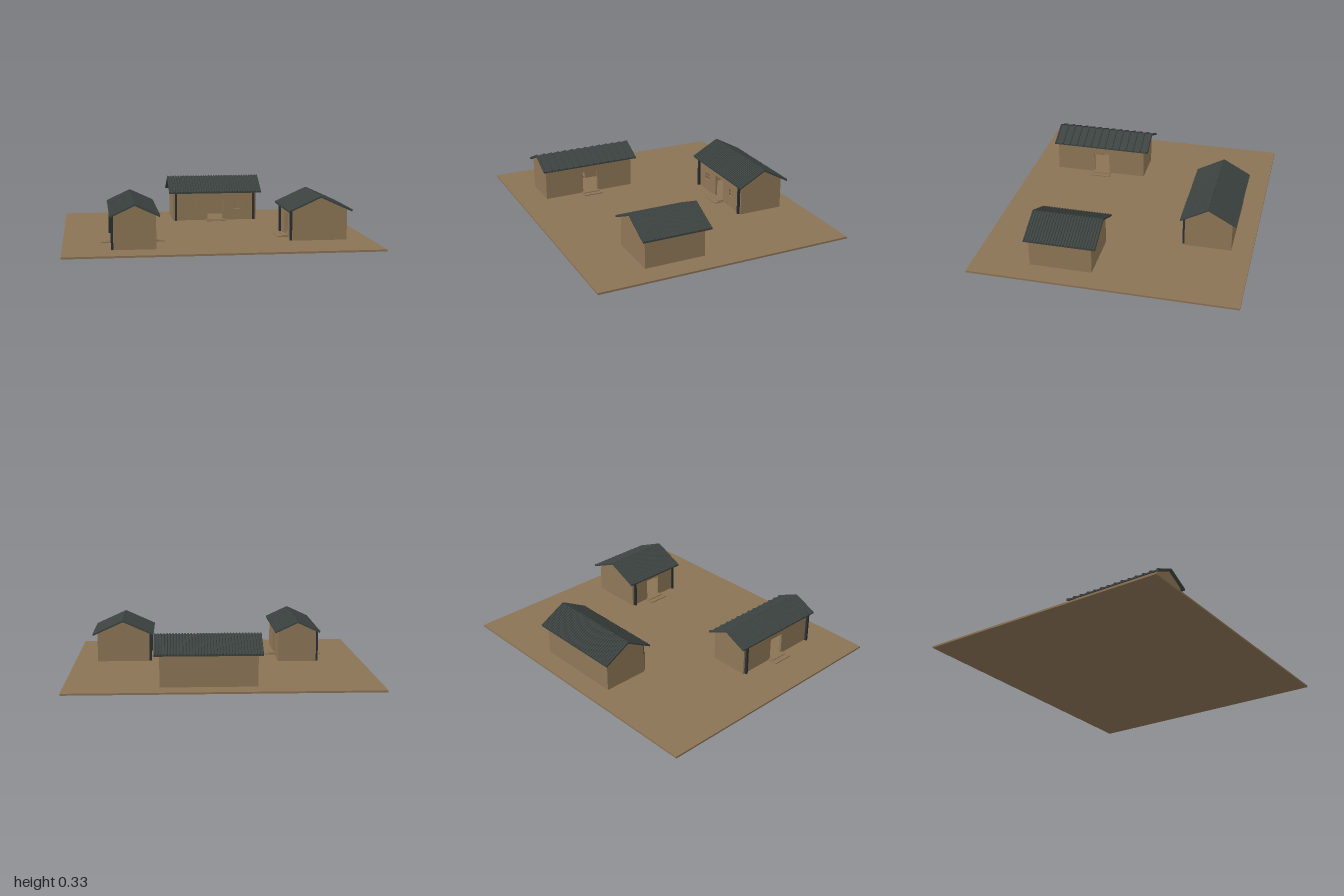
import * as THREE from 'three';

const material = (name, color) => {
  const m = new THREE.MeshStandardMaterial({ color });
  m.name = name;
  return m;
};

const GROUND = 0.012, WALL = 0.015, DOOR_W = 0.11, DOOR_TOP = 0.165;

export function createModel() {
  const earth = material('earth', 0x8b7355);
  const mud = material('mud wall', 0x8f7757);
  const tile = material('roof tile', 0x3c4340);
  const post = material('dark timber', 0x2a3032);

  const model = new THREE.Group();
  model.name = 'courtyard';

  function add(parent, name, geometry, mat, x = 0, y = 0, z = 0) {
    const mesh = new THREE.Mesh(geometry, mat);
    mesh.name = name;
    mesh.position.set(x, y, z);
    parent.add(mesh);
    return mesh;
  }
  const box = (parent, name, w, h, d, mat, x, y, z) =>
    add(parent, name, new THREE.BoxGeometry(w, h, d), mat, x, y, z);

  // Cross-section across the house, extruded along the ridge (x)
  function alongRidge(points, length) {
    const shape = new THREE.Shape(points.map(p => new THREE.Vector2(...p)));
    return new THREE.ExtrudeGeometry(shape, { depth: length, bevelEnabled: false })
      .translate(0, 0, -length / 2).rotateY(Math.PI / 2);
  }

  function rectHole(x0, x1, y0, y1) {
    const hole = new THREE.Path();
    hole.moveTo(x0, y0);
    hole.lineTo(x0, y1);
    hole.lineTo(x1, y1);
    hole.lineTo(x1, y0);
    hole.closePath();
    return hole;
  }

  // House with its ridge along x and its main door facing +z
  function house(o) {
    const g = new THREE.Group();
    g.name = o.name;
    g.position.set(o.x, 0, o.z);
    g.rotation.y = o.turn;
    model.add(g);

    const slope = (o.ridge - o.eave) / o.overhang;
    const angle = Math.atan(slope);
    const top = o.ridge - o.ribRadius * 0.7;
    const under = top - 0.009;
    const half = o.depth / 2;
    const wallTop = under - slope * half;

    // Gable walls
    for (const s of [-1, 1]) {
      const gable = alongRidge([[-half, GROUND], [half, GROUND], [half, wallTop], [0, under], [-half, wallTop]], WALL);
      add(g, 'gableWall', gable, mud, s * (o.length - WALL) / 2);
    }

    // Long walls, with door and window openings
    for (const s of [1, -1]) {
      const shape = new THREE.Shape();
      const e = o.length / 2 - WALL;
      const hasDoor = s > 0 || o.backDoor;
      const outline = [[-e, GROUND]];
      if (hasDoor) {
        const d = DOOR_W / 2;
        outline.push([o.door - d, GROUND], [o.door - d, DOOR_TOP], [o.door + d, DOOR_TOP], [o.door + d, GROUND]);
      }
      outline.push([e, GROUND], [e, wallTop], [-e, wallTop]);
      shape.setFromPoints(outline.map(p => new THREE.Vector2(...p)));
      if (s > 0) for (const w of o.windows) {
        shape.holes.push(rectHole(w - 0.03, w + 0.03, 0.09, 0.14));
        box(g, 'windowMullion', 0.005, 0.05, 0.006, mud, w, 0.115, half - WALL / 2);
        box(g, 'windowRail', 0.06, 0.004, 0.006, mud, w, 0.115, half - WALL / 2);
      }
      const wall = new THREE.ExtrudeGeometry(shape, { depth: WALL, bevelEnabled: false });
      add(g, s > 0 ? 'frontWall' : 'backWall', wall, mud, 0, 0, s > 0 ? half - WALL : -half);

      // Low door steps
      if (hasDoor) {
        box(g, 'lowerStep', DOOR_W + 0.03, 0.006, 0.07, earth, o.door, GROUND + 0.003, s * (half + 0.035));
        box(g, 'upperStep', DOOR_W + 0.01, 0.011, 0.035, earth, o.door, GROUND + 0.0055, s * (half + 0.0175));
      }
    }

    // Posts under the front eave
    for (const s of [-1, 1]) {
      const h = under - slope * (half + 0.014) - GROUND;
      box(g, 'porchPost', 0.015, h, 0.015, post, s * (o.length / 2 - 0.02), GROUND + h / 2, half + 0.008);
    }

    // Roof slabs
    const roof = new THREE.Group();
    roof.name = 'roof';
    roof.position.x = o.roofShift;
    g.add(roof);
    const a = o.overhang, drop = slope * a;
    add(roof, 'roofSlab', alongRidge(
      [[0, under], [a, under - drop], [a, top - drop], [0, top], [-a, top - drop], [-a, under - drop]],
      o.roofLength), tile);

    // Rows of rounded tiles running down each slope
    const run = Math.hypot(a, drop);
    const rib = new THREE.CylinderGeometry(o.ribRadius, o.ribRadius, run, 8);
    const step = (o.roofLength - 2 * o.ribRadius) / (o.ribs - 1);
    for (const s of [-1, 1]) {
      for (let i = 0; i < o.ribs; i++) {
        const x = -o.roofLength / 2 + o.ribRadius + i * step;
        const row = add(roof, 'tileRow', rib, tile, x, top - drop / 2, s * a / 2);
        row.rotation.x = s * (angle - Math.PI / 2);
      }
    }
  }

  // Ground slab
  box(model, 'ground', 2, GROUND, 1.74, earth, 0, GROUND / 2, 0);

  house({
    name: 'mainHouse', x: 0.093, z: -0.577, turn: 0, length: 0.615, depth: 0.31,
    roofLength: 0.68, roofShift: 0.002, overhang: 0.182, ridge: 0.325, eave: 0.225,
    ribs: 36, ribRadius: 0.006, door: 0.002, windows: [-0.173, 0.172], backDoor: false,
  });
  house({
    name: 'longHouse', x: -0.55, z: 0.357, turn: -Math.PI / 2, length: 0.645, depth: 0.265,
    roofLength: 0.7, roofShift: -0.007, overhang: 0.155, ridge: 0.302, eave: 0.23,
    ribs: 14, ribRadius: 0.007, door: -0.007, windows: [], backDoor: true,
  });
  house({
    name: 'smallHouse', x: 0.662, z: 0.293, turn: -Math.PI / 2, length: 0.41, depth: 0.36,
    roofLength: 0.468, roofShift: -0.005, overhang: 0.21, ridge: 0.307, eave: 0.212,
    ribs: 26, ribRadius: 0.006, door: -0.007, windows: [], backDoor: false,
  });

  return model;
}
